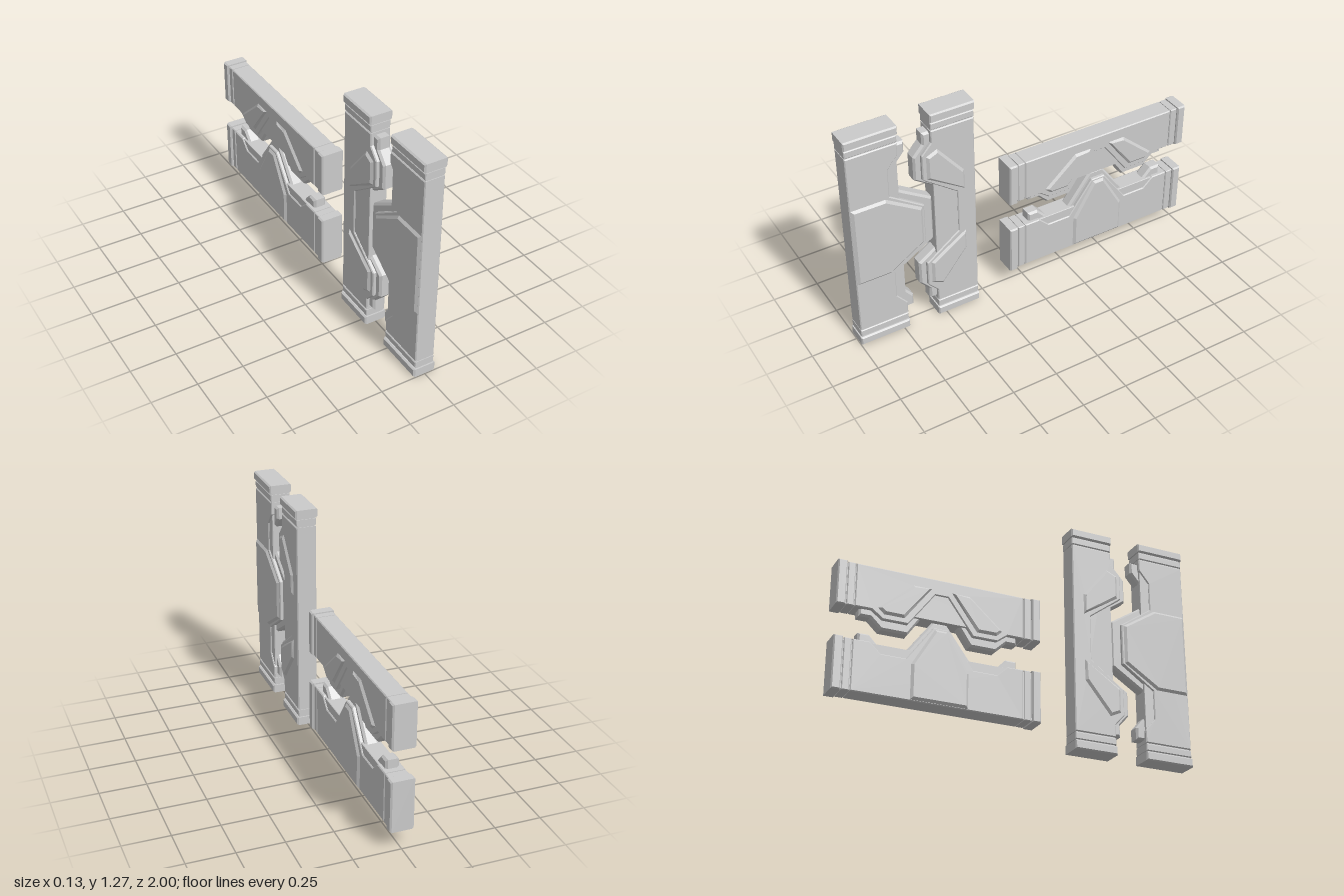
import * as THREE from 'three';

const material = new THREE.MeshStandardMaterial({ color: 0xcccccc, flatShading: true });

// Plate with chamfered rims: outline in (z, y), thickness centred on x = 0
function plate(name, outline, halfX, bevelX, bevel) {
  const shape = new THREE.Shape(outline.map(([z, y]) => new THREE.Vector2(z, y)));
  const depth = 2 * (halfX - bevelX);
  const geo = new THREE.ExtrudeGeometry(shape, {
    depth, bevelEnabled: true, bevelThickness: bevelX, bevelSize: bevel,
    bevelOffset: -bevel, bevelSegments: 1,
  });
  geo.translate(0, 0, -depth / 2);
  geo.rotateY(-Math.PI / 2);
  const mesh = new THREE.Mesh(geo, material);
  mesh.name = name;
  return mesh;
}

// One door leaf. Points are [t, s]: t runs across the leaf, s along it from its middle.
function doorLeaf(d) {
  const leaf = new THREE.Group();
  leaf.name = d.name;
  const place = ([t, s]) => (d.upright ? [t, d.centre + s] : [d.centre + s, t]);
  const add = (name, pts, halfX, bevelX, bevel) =>
    leaf.add(plate(name, pts.map(place), halfX, bevelX, bevel));
  const mirrored = (half) =>
    [...half, ...half.map(([t, s]) => [t, -s]).reverse()];
  const bar = (t0, t1, s0, s1) => [[t0, s0], [t1, s0], [t1, s1], [t0, s1]];
  const { outer, inner, half } = d;
  const out = Math.sign(outer - inner) * 0.004;
  const back = outer * 0.8 + inner * 0.2;
  const end = half - 0.097;

  // Main slab with the notched meeting edge
  add('body', mirrored([...d.edge, [inner, end], [outer, end]]), 0.055, 0.005, 0.005);
  // Thinner tongue that follows the meeting edge
  const tipS = d.tongue[d.tongue.length - 1][1];
  add('tongue', mirrored([...d.tongue, [back, tipS]]), 0.036, 0.012, 0.01);
  // Recessed core showing in the grooves between body, collars and caps
  add('core', bar(outer - out, inner + out, -half + 0.02, half - 0.02).map(
    ([t, s]) => [t, s]).filter(() => true), 0.048, 0.004, 0.002);

  for (const side of [-1, 1]) {
    add('collar', bar(outer, inner, side * (half - 0.092), side * (half - 0.054)), 0.055, 0.004, 0.004);
    add('endCap', bar(outer + out, inner - out, side * (half - 0.048), side * half), 0.063, 0.009, 0.006);
  }
  // Raised armour panels
  for (const p of d.panels) add('raisedPanel', p, 0.066, 0.013, 0.016);
  return leaf;
}

const flip = (pts) => pts.map(([t, s]) => [t, -s]);

export function createModel() {
  const model = new THREE.Group();
  model.name = 'slidingDoors';

  // Upright pair
  const uprightPanel = [[0.365, 0.13], [0.365, 0.25], [0.51, 0.43], [0.575, 0.40], [0.575, 0.265]];
  const upright = { upright: true, centre: 0.636, half: 0.636 };
  model.add(doorLeaf({
    ...upright, name: 'uprightDoorFront', outer: 0.993, inner: 0.72,
    edge: [[0.595, 0.115], [0.777, 0.24], [0.777, 0.40], [0.72, 0.47]],
    tongue: [[0.541, 0.13], [0.729, 0.25], [0.729, 0.39], [0.675, 0.455], [0.675, 0.52]],
    panels: [[[0.99, 0.235], [0.80, 0.235], [0.605, 0.11], [0.605, -0.11], [0.80, -0.235], [0.99, -0.235]]],
  }));
  model.add(doorLeaf({
    ...upright, name: 'uprightDoorBack', outer: 0.304, inner: 0.541,
    edge: [[0.407, 0.125], [0.595, 0.265], [0.595, 0.41], [0.541, 0.47]],
    tongue: [[0.45, 0.14], [0.632, 0.265], [0.632, 0.40], [0.579, 0.46], [0.579, 0.525]],
    panels: [uprightPanel, flip(uprightPanel)],
  }));

  // Level pair
  const levelPanel = [[0.73, 0.052], [0.73, 0.155], [0.568, 0.34], [0.535, 0.304], [0.535, 0.195]];
  const level = { upright: false, centre: -0.447, half: 0.553 };
  model.add(doorLeaf({
    ...level, name: 'levelDoorUpper', outer: 0.788, inner: 0.553,
    edge: [[0.70, 0.035], [0.51, 0.175], [0.51, 0.31], [0.553, 0.367]],
    tongue: [[0.65, 0.04], [0.463, 0.168], [0.463, 0.31], [0.517, 0.367], [0.517, 0.426]],
    panels: [levelPanel, flip(levelPanel)],
  }));
  model.add(doorLeaf({
    ...level, name: 'levelDoorLower', outer: 0.106, inner: 0.378,
    edge: [[0.517, 0.04], [0.324, 0.18], [0.324, 0.31], [0.378, 0.367]],
    tongue: [[0.555, 0.04], [0.367, 0.18], [0.367, 0.31], [0.426, 0.367], [0.426, 0.426]],
    panels: [[[0.11, 0.155], [0.30, 0.155], [0.508, 0.034], [0.508, -0.034], [0.30, -0.155], [0.11, -0.155]]],
  }));
  return model;
}
